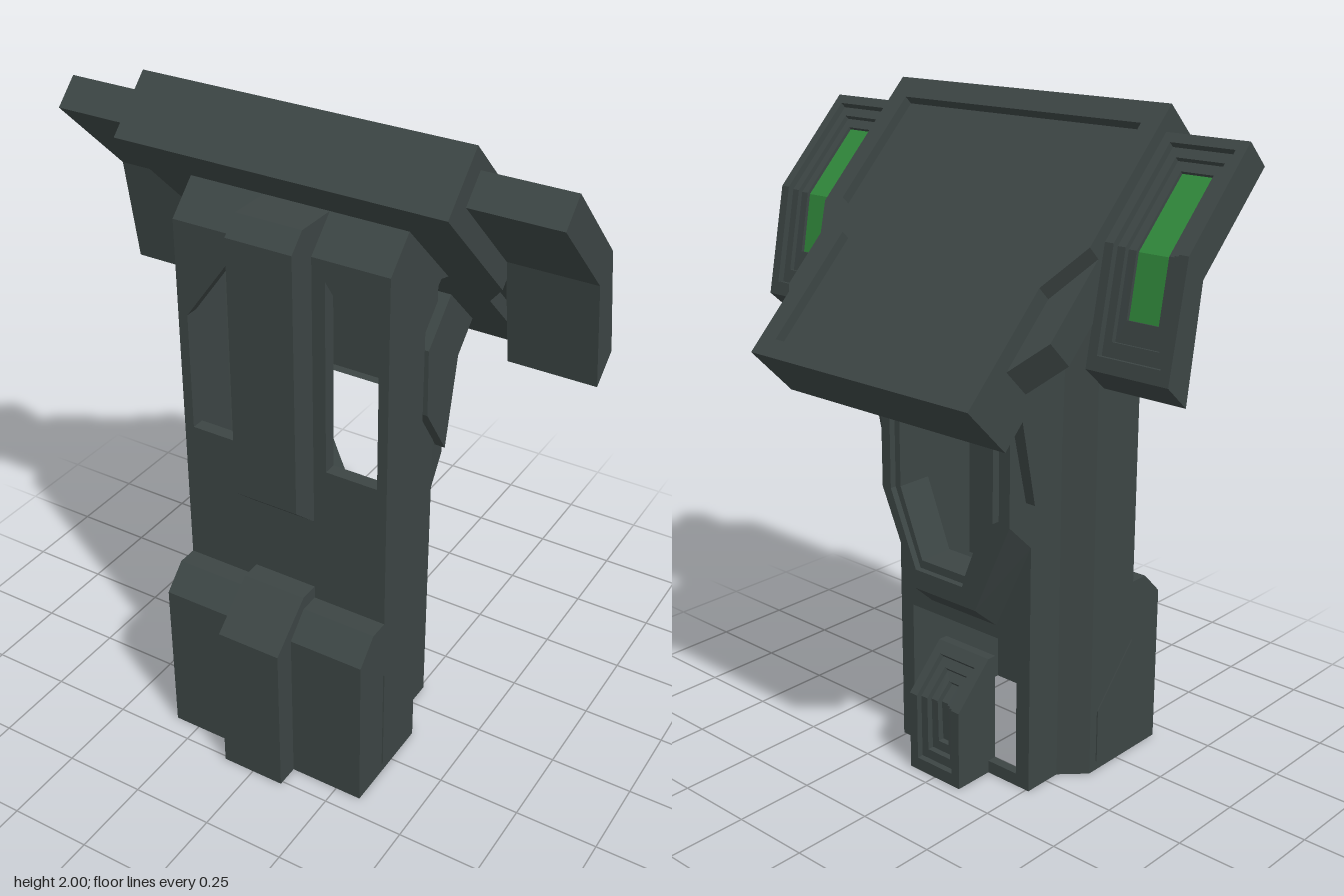
import * as THREE from 'three';

const body = new THREE.MeshStandardMaterial({ color: 0x3c4544, side: THREE.DoubleSide });
body.name = 'dark grey metal';
const glow = new THREE.MeshStandardMaterial({ color: 0x30883b, side: THREE.DoubleSide });
glow.name = 'green light';

const shapeOf = (pts) => new THREE.Shape(pts.map(([a, b]) => new THREE.Vector2(a, b)));

export function createModel() {
  const model = new THREE.Group();
  model.name = 'consolePedestal';

  const add = (name, geo, mat = body, parent = model) => {
    const mesh = new THREE.Mesh(geo, mat);
    mesh.name = name;
    parent.add(mesh);
    return mesh;
  };
  const extrude = (shape, depth) => new THREE.ExtrudeGeometry(shape, { depth, bevelEnabled: false });

  // side profile of [z, y] points, extruded from x0 to x1
  const profileX = (name, pts, x0, x1) => {
    const geo = extrude(shapeOf(pts), x1 - x0);
    geo.rotateY(-Math.PI / 2).translate(x1, 0, 0);
    return add(name, geo);
  };
  const profilePair = (name, pts, x0, x1) => {
    profileX(name + 'Left', pts, x0, x1);
    profileX(name + 'Right', pts, -x1, -x0);
  };
  // flat wall in x/y with holes, from z0 to z1
  const wall = (name, pts, holes, z0, z1) => {
    const shape = shapeOf(pts);
    holes.forEach((h) => shape.holes.push(shapeOf(h)));
    add(name, extrude(shape, z1 - z0).translate(0, 0, z0));
  };
  const mirror = (pts) => pts.map(([x, y]) => [-x, y]).reverse();
  const rect = (x0, y0, x1, y1) => [[x0, y0], [x1, y0], [x1, y1], [x0, y1]];

  // skin over six-point loops; optional cap on the first loop
  const skin = (loops, capFirst = false) => {
    const out = [];
    const quad = (a, b, c, d) => [a, b, c, a, c, d].forEach((p) => out.push(...p));
    for (let k = 0; k + 1 < loops.length; k++) {
      const p = loops[k], q = loops[k + 1];
      for (let i = 0; i < 6; i++) quad(p[i], p[(i + 1) % 6], q[(i + 1) % 6], q[i]);
    }
    if (capFirst) {
      const l = loops[0];
      quad(l[0], l[5], l[4], l[1]);
      quad(l[1], l[4], l[3], l[2]);
    }
    const geo = new THREE.BufferGeometry();
    geo.setAttribute('position', new THREE.Float32BufferAttribute(out, 3));
    geo.computeVertexNormals();
    return geo;
  };

  // block with a bent outer face that steps inwards to a lit or plain floor
  // front/back: three [z, y] points; steps: [halfWidth, topInset, endInset, depth]
  const steppedBlock = (name, cx, front, back, inward, steps, floorMat) => {
    const loop = (path, half) => [
      ...path.map(([z, y]) => [cx + half, y, z]),
      ...path.map(([z, y]) => [cx - half, y, z]).reverse(),
    ];
    const toward = (a, b, d) => {
      const t = d / Math.hypot(b[0] - a[0], b[1] - a[1]);
      return [a[0] + (b[0] - a[0]) * t, a[1] + (b[1] - a[1]) * t];
    };
    const loops = [loop(front, steps[0][0])];
    for (const [half, top, end, depth] of steps) {
      const path = [toward(back[0], back[1], top), back[1], toward(back[2], back[1], end)];
      loops.push(loop(path.map((p, i) => [p[0] + inward[i][0] * depth, p[1] + inward[i][1] * depth]), half));
    }
    add(name, skin(loops, true));
    add(name + 'Floor', skin([loops[loops.length - 1]], true), floorMat);
  };

  // hollow column: front wall with two windows, side walls, chamfered rear corners
  const frontWindow = [[0.14, 1.02], [0.30, 1.02], [0.30, 1.38], [0.14, 1.60]];
  wall('columnFront', rect(-0.33, 0.5, 0.33, 1.66), [frontWindow, mirror(frontWindow)], 0.27, 0.31);
  profilePair('columnSide', [[0.12, 0], [0.44, 0], [0.44, 0.5], [0.37, 0.57], [0.31, 0.57],
    [0.31, 1.66], [0.22, 1.75], [0.12, 1.65]], 0.30, 0.33);
  profileX('columnTop', [[0.31, 1.66], [0.22, 1.75], [0.19, 1.72], [0.27, 1.63]], -0.33, 0.33);
  const corner = [[0.33, 0.12], [0.26, 0.05], [0.26, -0.08], [0.23, -0.08], [0.23, 0.06], [0.30, 0.13]];
  [['Left', corner], ['Right', mirror(corner)]].forEach(([side, pts]) => {
    add('columnRearCorner' + side, extrude(shapeOf(pts), 1.45).rotateX(Math.PI / 2).translate(0, 1.45, 0));
  });
  profilePair('columnShoulder', [[0.12, 1.65], [0.12, 1.47], [0.04, 1.54], [0, 1.53]], 0.22, 0.33);

  // rear wall with a tall opening and a lower opening
  wall('columnBack', rect(-0.26, 0, 0.26, 1.45),
    [[[-0.09, 0.66], [0.09, 0.66], [0.19, 0.87], [0.19, 1.12], [-0.19, 1.12], [-0.19, 0.87]],
      rect(-0.21, 0.04, 0.21, 0.46)], -0.08, -0.05);

  // front ribs and base
  profileX('frontRib', [[0.28, 0.84], [0.31, 0.84], [0.40, 0.92], [0.40, 1.70], [0.35, 1.75],
    [0.22, 1.75], [0.28, 1.6]], -0.10, 0.10);
  profileX('baseFront', [[0.44, 0], [0.44, 0.5], [0.37, 0.57], [0.28, 0.57], [0.28, 0.54],
    [0.36, 0.54], [0.41, 0.49], [0.41, 0]], -0.33, 0.33);
  profileX('baseRib', [[0.41, 0], [0.51, 0], [0.51, 0.49], [0.37, 0.61], [0.30, 0.61], [0.30, 0.55],
    [0.37, 0.55], [0.41, 0.49]], -0.10, 0.10);
  profilePair('baseSidePanel', [[0.31, 0.03], [0.31, 0.38], [0.15, 0.20], [0.15, 0.03]], 0.33, 0.334);

  // shield-shaped rear housing with a raised ring around the opening
  const shield = (w, wb, top, mid, bot, z) =>
    [[wb, bot, z], [w, mid, z], [w, top, z], [-w, top, z], [-w, mid, z], [-wb, bot, z]];
  add('rearHousing', skin([
    shield(0.26, 0.13, 1.22, 0.78, 0.50, -0.08),
    shield(0.25, 0.12, 1.20, 0.86, 0.57, -0.16),
    shield(0.21, 0.10, 1.14, 0.87, 0.62, -0.16),
    shield(0.21, 0.10, 1.14, 0.87, 0.62, -0.185),
    shield(0.19, 0.092, 1.12, 0.875, 0.645, -0.185),
    shield(0.19, 0.092, 1.12, 0.875, 0.645, -0.165),
    shield(0.17, 0.085, 1.10, 0.88, 0.67, -0.165),
    shield(0.17, 0.085, 1.10, 0.88, 0.67, -0.05),
  ]));

  // brackets and crossbar carrying the screen
  profilePair('screenBracket', [[0.02, 1.30], [0.015, 1.09], [-0.10, 0.92], [-0.16, 1.20],
    [-0.24, 1.28], [-0.10, 1.42]], 0.22, 0.29);
  profileX('screenCrossbar', [[-0.06, 1.46], [-0.06, 1.19], [-0.16, 1.19], [-0.24, 1.28]], -0.24, 0.24);

  // stepped vent block low on the back
  steppedBlock('rearVent', 0, [[-0.05, 0.38], [-0.05, 0.25], [-0.05, 0]],
    [[-0.08, 0.38], [-0.21, 0.25], [-0.21, 0]], [[0.7, -0.7], [0.92, -0.38], [1, 0]],
    [[0.10, 0, 0, 0], [0.07, 0.04, 0.04, 0], [0.07, 0.04, 0.04, 0.02], [0.045, 0.07, 0.07, 0.02],
      [0.045, 0.07, 0.07, 0.04], [0.02, 0.10, 0.10, 0.04], [0.02, 0.10, 0.10, 0.06]], body);

  // tilted screen slab in layers; local y runs up the slope, z is the face normal
  const screen = new THREE.Group();
  screen.name = 'screen';
  const s = Math.SQRT1_2;
  screen.quaternion.setFromRotationMatrix(new THREE.Matrix4().makeBasis(
    new THREE.Vector3(-1, 0, 0), new THREE.Vector3(0, s, s), new THREE.Vector3(0, s, -s)));
  screen.position.set(0, 2, 0.19);
  model.add(screen);
  const outline = (w0, w1, top, c0, c1, end) =>
    [[w0, -top], [w0, -c0], [w1, -c1], [w1, -end], [-w1, -end], [-w1, -c1], [-w0, -c0], [-w0, -top]];
  const outer = outline(0.49, 0.41, 0, 0.46, 0.60, 0.976);
  const middle = outline(0.49, 0.41, 0, 0.72, 0.824, 0.976);
  const layer = (name, pts, z0, z1, hole) => {
    const shape = shapeOf(pts);
    if (hole) shape.holes.push(shapeOf(hole));
    add(name, extrude(shape, z1 - z0).translate(0, 0, z0), body, screen);
  };
  layer('screenUnderside', outer, -0.198, -0.155);
  layer('screenCore', middle, -0.155, -0.05);
  layer('screenFace', outer, -0.05, -0.03);
  layer('screenFrame', outer, -0.03, 0, outline(0.43, 0.35, 0.07, 0.44, 0.55, 0.92));

  // bent side wings with stepped recesses and green lights
  [['Left', 1], ['Right', -1]].forEach(([side, sign]) => {
    steppedBlock('wing' + side, sign * 0.618, [[0.24, 1.86], [-0.01, 1.61], [-0.06, 1.29]],
      [[0.17, 1.93], [-0.075, 1.68], [-0.14, 1.36]], [[0.7, -0.7], [0.87, -0.47], [0.98, -0.2]],
      [[0.13, 0, 0, 0], [0.10, 0.03, 0.04, 0], [0.10, 0.03, 0.04, 0.02], [0.075, 0.06, 0.08, 0.02],
        [0.075, 0.06, 0.08, 0.035], [0.05, 0.09, 0.14, 0.035], [0.05, 0.09, 0.14, 0.045]], glow);
  });

  return model;
}
